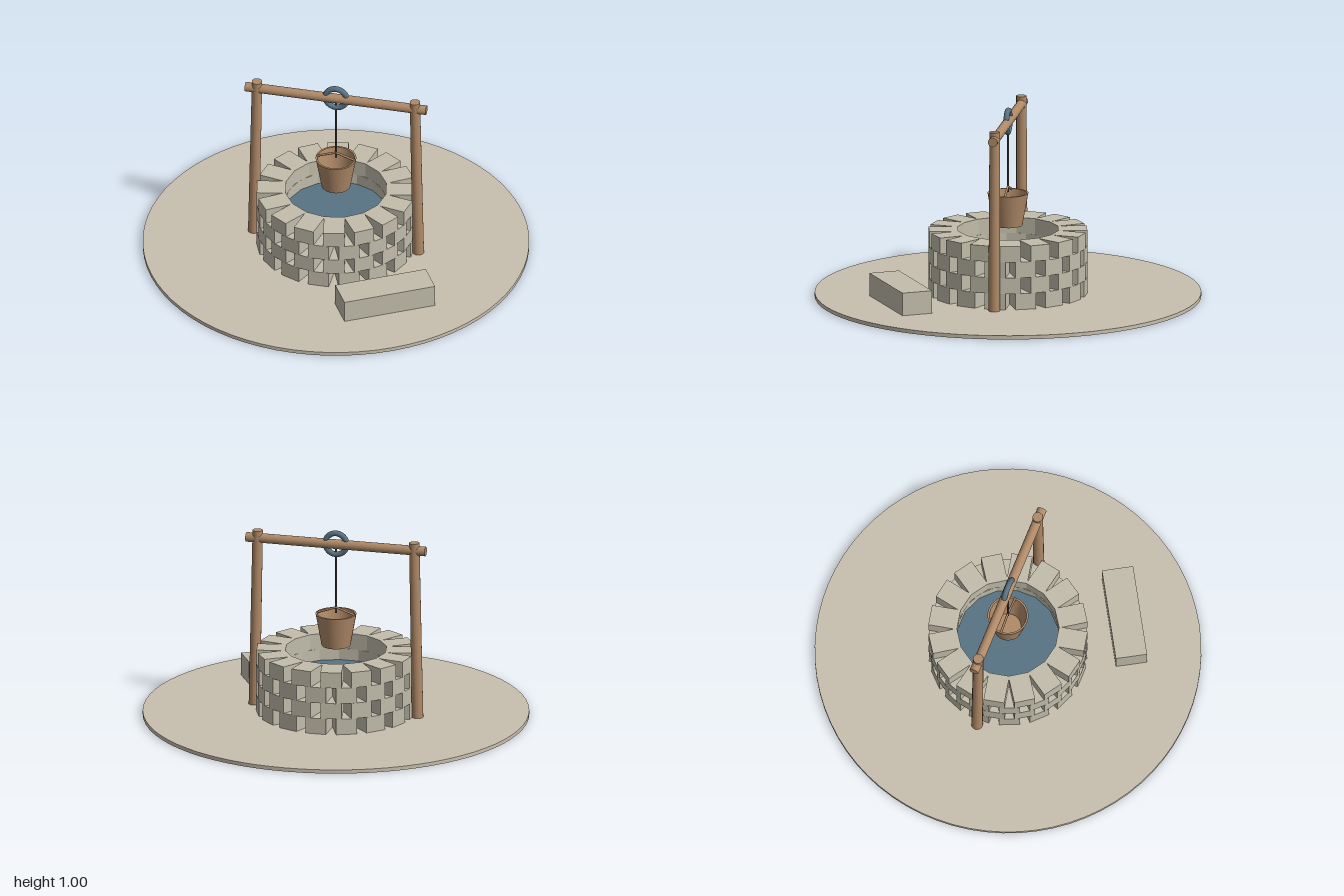
import * as THREE from 'three';

export function createModel() {
  const well = new THREE.Group();
  well.name = 'well';

  const material = (name, color, options = {}) => {
    const m = new THREE.MeshStandardMaterial({ color, ...options });
    m.name = name;
    return m;
  };
  const sand = material('sand', 0xc8bfae);
  const stone = material('stone', 0xc2bdab);
  const wood = material('wood', 0xb08a68);
  const steel = material('blue', 0x587384);
  const rope = material('rope', 0x55504a);

  const add = (name, geometry, mat, x = 0, y = 0, z = 0, parent = well) => {
    const mesh = new THREE.Mesh(geometry, mat);
    mesh.name = name;
    mesh.position.set(x, y, z);
    parent.add(mesh);
    return mesh;
  };

  // Round rod between two points
  const rod = (name, a, b, rA, rB, mat, sides = 16) => {
    const from = new THREE.Vector3(...a), to = new THREE.Vector3(...b);
    const dir = to.clone().sub(from);
    const mesh = add(name, new THREE.CylinderGeometry(rB, rA, dir.length(), sides), mat);
    mesh.position.copy(from).lerp(to, 0.5);
    mesh.quaternion.setFromUnitVectors(new THREE.Vector3(0, 1, 0), dir.normalize());
    return mesh;
  };

  // Ground disc
  add('ground', new THREE.CylinderGeometry(1, 1, 0.02, 72), sand, 0, 0.01, 0);

  // Ring wall: four staggered courses of sixteen blocks
  const wall = new THREE.Group();
  wall.name = 'wall';
  well.add(wall);
  const count = 16, courses = 4, courseHeight = 0.084;
  const block = new THREE.BoxGeometry(0.109, courseHeight, 0.15);
  for (let c = 0; c < courses; c++) {
    for (let i = 0; i < count; i++) {
      const angle = ((i + (c % 2 ? 0.5 : 0)) / count) * Math.PI * 2;
      const mesh = add('wallStone', block, stone,
        Math.sin(angle) * 0.334, 0.02 + courseHeight * (c + 0.5), Math.cos(angle) * 0.334, wall);
      mesh.rotation.y = angle;
    }
  }

  // Water inside the wall
  add('water', new THREE.CylinderGeometry(0.27, 0.27, 0.02, 32), steel, 0, 0.2, 0);

  // Leaning posts and cross beam
  for (const s of [-1, 1]) {
    rod('post', [s * 0.437, 0, 0], [s * 0.419, 0.965, 0], 0.03, 0.027, wood);
  }
  rod('beam', [-0.48, 0.923, 0], [0.48, 0.923, 0], 0.025, 0.025, wood);

  // Pulley ring and rope
  add('pulley', new THREE.TorusGeometry(0.057, 0.015, 12, 32), steel, 0, 0.925, 0);
  rod('rope', [0, 0.55, 0], [0, 0.91, 0], 0.005, 0.005, rope, 8);

  // Hollow bucket, each wall its own lathe so the edges stay crisp
  const bucket = new THREE.Group();
  bucket.name = 'bucket';
  well.add(bucket);
  const profile = [[0, 0.375], [0.075, 0.375], [0.106, 0.547], [0.096, 0.547], [0.067, 0.39], [0, 0.39]];
  for (let i = 0; i < profile.length - 1; i++) {
    const points = [profile[i], profile[i + 1]].map(p => new THREE.Vector2(...p));
    add('bucketWall', new THREE.LatheGeometry(points, 28), wood, 0, 0, 0, bucket);
  }

  // Peaked bucket handle
  for (const s of [-1, 1]) {
    rod('handle', [s * 0.101, 0.545, 0], [0, 0.58, 0], 0.006, 0.006, wood, 8);
  }

  // Loose stone step
  const step = add('step', new THREE.BoxGeometry(0.49, 0.12, 0.163), stone, 0.375, 0.08, 0.5);
  step.rotation.y = Math.PI / 6;

  return well;
}
